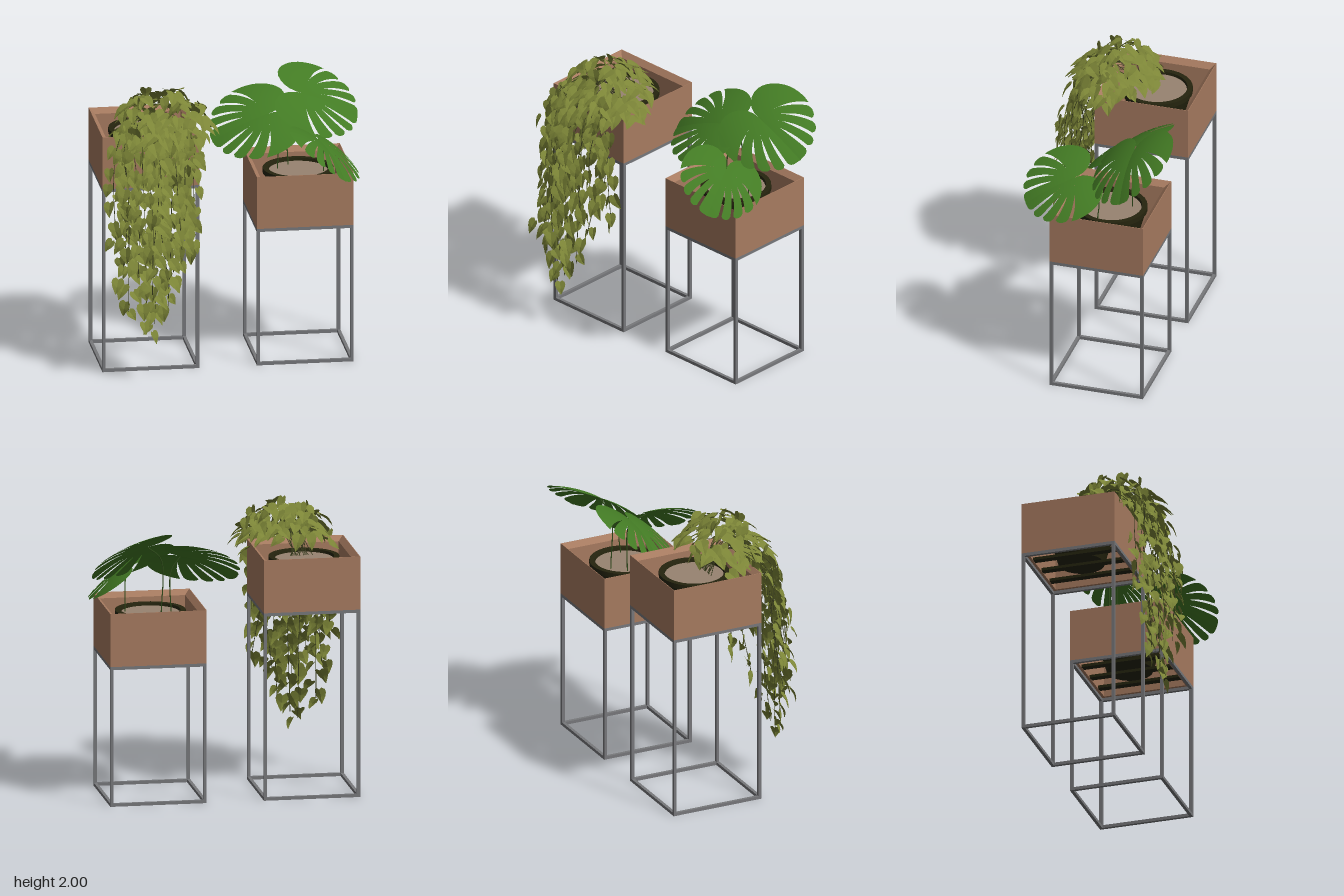
import * as THREE from 'three';
import { mergeGeometries, toCreasedNormals } from 'three/addons/utils/BufferGeometryUtils.js';

const V = (x, y, z) => new THREE.Vector3(x, y, z);
const mat = (name, color, extra = {}) => {
  const m = new THREE.MeshStandardMaterial({ color, ...extra });
  m.name = name;
  return m;
};

let seed = 7;
const rnd = () => ((seed = (seed * 16807) % 2147483647) / 2147483647);
const spread = (a) => (rnd() * 2 - 1) * a;

function mesh(name, geometry, material, parent) {
  const m = new THREE.Mesh(geometry, material);
  m.name = name;
  parent.add(m);
  return m;
}

function buffer(pos, idx) {
  const g = new THREE.BufferGeometry();
  g.setAttribute('position', new THREE.Float32BufferAttribute(pos, 3));
  g.setIndex(idx);
  return g;
}

// Basis with y along the leaf, x across it, z along its upper normal
function leafMatrix(origin, dir, normal, size = 1) {
  const d = dir.clone().normalize();
  const x = d.clone().cross(normal).normalize();
  const z = x.clone().cross(d);
  return new THREE.Matrix4().makeBasis(x, d, z).scale(V(size, size, size)).setPosition(origin);
}

const tube = (pts, r, n) => new THREE.TubeGeometry(new THREE.CatmullRomCurve3(pts), n, r, 5);

// Metal stand, open timber box, slats, pot and soil
function planter(name, cx, baseY, m) {
  const g = new THREE.Group();
  g.name = name;
  g.position.set(cx, 0, -0.14);
  const h = 0.337, b = 0.022, e = h - b / 2;
  const bar = (w, t, d, x, y, z) => new THREE.BoxGeometry(w, t, d).translate(x, y, z);
  const bars = [];
  for (const s of [-1, 1]) {
    for (const k of [-1, 1]) bars.push(bar(b, baseY, b, s * e, baseY / 2, k * e));
    for (const y of [b / 2, baseY - b / 2]) {
      bars.push(bar(2 * h - 2 * b, b, b, 0, y, s * e), bar(b, b, 2 * h - 2 * b, s * e, y, 0));
    }
  }
  mesh('stand', mergeGeometries(bars), m.metal, g);

  // Square walls with a chamfer on the inner top edge
  const profile = [[0.295, 0], [h, 0], [h, 0.375], [0.333, 0.375], [0.298, 0.34], [0.295, 0]]
    .map(([r, y]) => new THREE.Vector2(r * Math.SQRT2, y));
  const box = new THREE.LatheGeometry(profile, 4, Math.PI / 4).toNonIndexed();
  box.computeVertexNormals();
  mesh('box', box, m.wood, g).position.y = baseY;

  for (const x of [-0.18, 0, 0.18]) {
    mesh('slat', new THREE.BoxGeometry(0.05, 0.02, 0.6), m.dark, g).position.set(x, baseY + 0.012, 0);
  }
  const potProfile = [[0, 0], [0.16, 0], [0.235, 0.26], [0.245, 0.265], [0.245, 0.3], [0.208, 0.3], [0.2, 0.26]]
    .map(([r, y]) => new THREE.Vector2(r, y));
  const pot = toCreasedNormals(new THREE.LatheGeometry(potProfile, 36), 0.5);
  mesh('pot', pot, m.dark, g).position.set(0, baseY + 0.022, -0.012);
  mesh('soil', new THREE.CylinderGeometry(0.206, 0.206, 0.02, 36), m.soil, g).position.set(0, baseY + 0.292, -0.012);
  return g;
}

// Large split leaf: fingers fan out from the stalk and part towards the rim
function splitLeaf() {
  const rim = new THREE.SplineCurve([[0, 0.43], [30, 0.42], [60, 0.385], [90, 0.345], [120, 0.3], [145, 0.24], [165, 0.13], [178, 0.03]]
    .map(([a, r]) => new THREE.Vector2(a, r))).getPoints(70);
  const radius = (a) => {
    const i = Math.max(1, rim.findIndex((p) => p.x >= a));
    const p = rim[i - 1], q = rim[i];
    return p.y + (q.y - p.y) * (a - p.x) / (q.x - p.x);
  };
  const cuts = [0, 17, 34, 53, 75, 177];
  const last = cuts.length - 2;
  const pos = [], idx = [], rows = 9;
  for (const side of [-1, 1]) {
    for (let f = 0; f <= last; f++) {
      const a0 = cuts[f], a1 = cuts[f + 1], n = f === last ? 16 : 6;
      const start = pos.length / 3;
      for (let j = 0; j <= rows; j++) {
        const t = j / rows;
        const gap = t < 0.44 ? 0 : 2.2 * Math.sin(Math.min(1, (t - 0.44) / 0.3) * Math.PI / 2);
        const lo = f === 0 ? 0 : a0 + gap, hi = f === last ? a1 : a1 - gap;
        for (let i = 0; i <= n; i++) {
          const s = i / n, a = lo + (hi - lo) * s;
          const round = f === last ? 1 : 1 - 0.05 * Math.pow(Math.abs(2 * s - 1), 3) * (f ? 1 : s);
          const r = radius(a) * t * round;
          const rad = THREE.MathUtils.degToRad(a), w = rad - 0.2 * t * t * Math.sin(rad);
          const u = r * Math.cos(w), v = r * Math.sin(w);
          pos.push(side * v, u, 0.12 * v - 0.7 * v * v - 0.5 * u * u);
        }
      }
      for (let j = 0; j < rows; j++) for (let i = 0; i < n; i++) {
        const a = start + j * (n + 1) + i, b = a + 1, c = a + n + 1, d = c + 1;
        if (side > 0) idx.push(a, d, b, a, c, d);
        else idx.push(a, b, d, a, d, c);
      }
    }
  }
  const g = buffer(pos, idx);
  g.computeVertexNormals();
  return g;
}

function splitLeafPlant(m) {
  const g = new THREE.Group();
  g.name = 'splitLeafPlant';
  // Stalk top, direction to the tip, direction across, foot of the stalk, size
  const leaves = [
    [V(0.27, 1.69, -0.2), V(-0.4, -0.1, 0.07), V(0, 0.17, -0.28), V(0.335, 1.28, -0.2), 0.98],
    [V(0.52, 1.79, -0.32), V(0.44, -0.13, 0.03), V(-0.01, 0.17, -0.28), V(0.42, 1.28, -0.285), 1],
    [V(0.6, 1.56, 0.08), V(0.19, -0.14, 0.36), V(0.27, -0.17, -0.07), V(0.64, 1.28, -0.1), 0.88],
  ];
  for (const [top, dir, across, foot, size] of leaves) {
    const normal = across.clone().cross(dir);
    if (normal.y < 0) normal.negate();
    mesh('splitLeaf', splitLeaf(), m.leaf, g).applyMatrix4(leafMatrix(top, dir, normal, size));
    const bend = V(foot.x, top.y - 0.1, foot.z);
    mesh('stalk', tube([foot, bend, top.clone().add(V(0, -0.003, 0))], 0.004, 14), m.stalk, g);
  }
  return g;
}

// Small heart-shaped leaf folded along its midrib
function heartLeaf() {
  const half = [[0.17, -0.12], [0.36, 0.02], [0.4, 0.25], [0.31, 0.52], [0.15, 0.78]];
  const pos = [0, 0, 0, 0, 0.5, -0.02, 0, 1, -0.2];
  const idx = [];
  for (const s of [1, -1]) {
    const o = pos.length / 3;
    for (const [x, y] of half) pos.push(s * x, y, 0.28 * x - 0.18 * y * y);
    const tri = [[0, o, o + 1], [0, o + 1, o + 2], [0, o + 2, 1], [1, o + 2, o + 3], [1, o + 3, o + 4], [1, o + 4, 2]];
    for (const [a, b, c] of tri) idx.push(...(s > 0 ? [a, b, c] : [a, c, b]));
  }
  const g = buffer(pos, idx).toNonIndexed();
  g.computeVertexNormals();
  return g;
}

function trailingPlant(m) {
  const g = new THREE.Group();
  g.name = 'trailingPlant';
  const base = heartLeaf(), leaves = [], stems = [];
  const addLeaf = (p, d, n, size) => leaves.push(base.clone().applyMatrix4(leafMatrix(p, d, n, size)));

  // Mound of leaves over the pot
  const c = V(-0.51, 1.61, 0.09);
  for (let i = 0; i < 120; i++) {
    const up = 0.14 + 0.85 * (i + 0.5) / 120, a = i * 2.39996;
    const k = Math.sqrt(1 - up * up), n = V(k * Math.cos(a), up, k * Math.sin(a));
    if (n.z < -0.2 && up < 0.4) continue;
    const shell = 0.74 + rnd() * 0.26;
    const p = c.clone().add(n.clone().multiply(V(0.38, 0.375, 0.37)).multiplyScalar(shell));
    const d = V(n.x + spread(0.8), -0.15 - k * 0.35, n.z + spread(0.8)).normalize();
    p.addScaledVector(d, -0.05);
    addLeaf(p, d, n.clone().add(V(spread(0.4), 0.8, spread(0.4))), 0.1 + rnd() * 0.035);
  }

  // Hanging strands: x, lowest y, z at the end
  const strands = [
    [-0.85, 1.0, 0.34], [-0.81, 0.75, 0.42], [-0.77, 0.5, 0.42], [-0.74, 0.8, 0.5], [-0.69, 0.36, 0.44],
    [-0.65, 0.65, 0.52], [-0.62, 0.95, 0.54], [-0.59, 0.41, 0.43], [-0.55, 0.75, 0.48], [-0.5, 0.53, 0.41],
    [-0.46, 0.95, 0.46], [-0.43, 0.75, 0.35], [-0.39, 1.05, 0.4], [-0.35, 0.88, 0.27], [-0.32, 1.15, 0.34],
    [-0.8, 1.25, 0.42], [-0.58, 1.2, 0.46],
  ];
  for (const [x, y, z] of strands) {
    const pts = [
      V(-0.6 + spread(0.1), 1.6, -0.08), V((x - 0.57) / 2, 1.82, 0.1 + spread(0.05)),
      V(x, 1.66, 0.33 + spread(0.07)), V(x + spread(0.04), (1.66 + y) / 2 + 0.1, z - 0.04 + spread(0.04)), V(x + spread(0.04), y, z),
    ];
    const curve = new THREE.CatmullRomCurve3(pts);
    stems.push(tube(pts, 0.0025, 36));
    const length = curve.getLength(), count = Math.round(length / 0.066);
    for (let i = Math.round(count * 0.45 / length); i <= count; i++) {
      const p = curve.getPointAt(i / count), s = i % 2 ? 1 : -1;
      const out = V(s * 0.25 + spread(0.5), -0.75, 0.35 + spread(0.35));
      p.add(V(s * 0.022 + spread(0.02), 0, spread(0.04)));
      addLeaf(p, out, V(s * 0.25 + spread(0.5), 0.6, 0.75), 0.082 + rnd() * 0.034);
    }
  }
  mesh('vineLeaves', mergeGeometries(leaves), m.vineLeaf, g);
  mesh('vineStems', mergeGeometries(stems), m.vineStem, g);
  return g;
}

export function createModel() {
  seed = 7;
  const two = { side: THREE.DoubleSide };
  const m = {
    wood: mat('brown wood', 0xa77b60),
    metal: mat('grey metal', 0x77787b),
    dark: mat('dark pot', 0x25240e, two),
    soil: mat('soil', 0x988371),
    leaf: mat('deep green leaf', 0x437b24, two),
    stalk: mat('dark green stalk', 0x32501c),
    vineLeaf: mat('olive leaf', 0x7c8537, two),
    vineStem: mat('dark vine stem', 0x3c4020),
  };
  const model = new THREE.Group();
  model.name = 'plantStands';
  model.add(planter('tallPlanter', -0.602, 1.325, m), planter('shortPlanter', 0.472, 0.988, m));
  model.add(splitLeafPlant(m), trailingPlant(m));
  return model;
}
